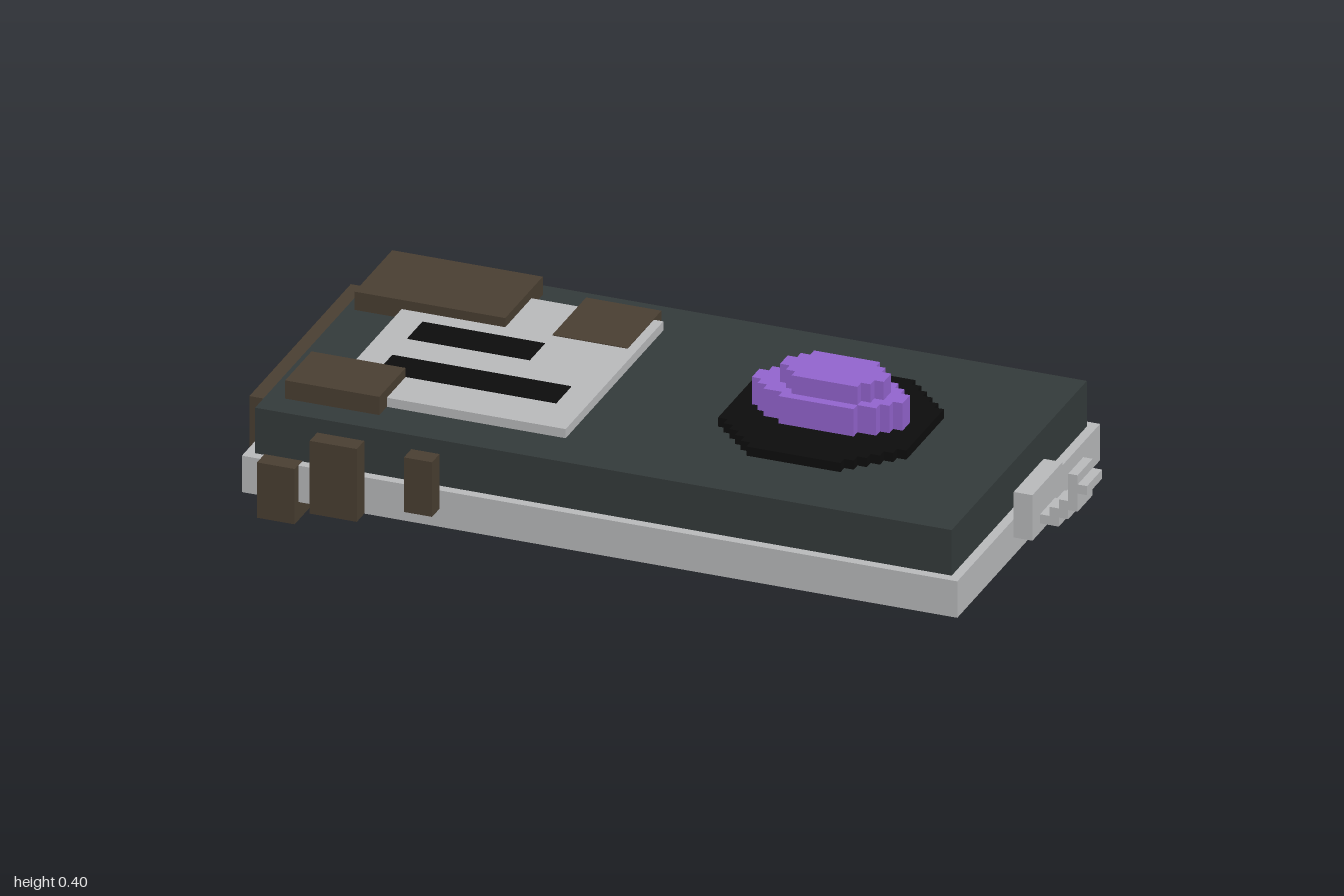
import * as THREE from 'three';

const V = 2 / 85; // size of one block cell; all measures below are in cells

export function createModel() {
  const model = new THREE.Group();
  model.name = 'blockDevice';
  const material = (name, color) => {
    const m = new THREE.MeshStandardMaterial({ color });
    m.name = name;
    return m;
  };
  const grey = material('lightGrey', 0xbabbbd);
  const slate = material('darkSlate', 0x343b3b);
  const brown = material('brown', 0x4a3f32);
  const black = material('black', 0x0d0d0d);
  const purple = material('purple', 0x9465d0);

  // Box from cell ranges; x counts from the right-hand end (x = -1)
  const box = (name, mat, [x0, x1], [y0, y1], [z0, z1]) => {
    const g = new THREE.BoxGeometry((x1 - x0) * V, (y1 - y0) * V, (z1 - z0) * V);
    g.translate(((x0 + x1) / 2 - 42.5) * V, ((y0 + y1) / 2) * V, ((z0 + z1) / 2) * V);
    const mesh = new THREE.Mesh(g, mat);
    mesh.name = name;
    model.add(mesh);
  };

  // Extruded stepped outline; rows are [z start, x start, x end], mirrored about z = -1
  const stepped = (name, mat, rows, y0, y1) => {
    const left = [], right = [];
    rows.forEach(([z, a, b], i) => {
      const next = i + 1 < rows.length ? rows[i + 1][0] : -2 - z;
      left.push([a, z], [a, next]);
      right.push([b, z], [b, next]);
    });
    rows.slice(0, -1).reverse().forEach(([z, a, b], i) => {
      const from = -2 - rows[rows.length - 1 - i][0];
      left.push([a, from], [a, -2 - z]);
      right.push([b, from], [b, -2 - z]);
    });
    const points = [...left, ...right.reverse()]
      .map(([x, z]) => new THREE.Vector2((x - 42.5) * V, -z * V));
    const g = new THREE.ExtrudeGeometry(new THREE.Shape(points), {
      depth: (y1 - y0) * V, bevelEnabled: false,
    });
    g.rotateX(-Math.PI / 2).translate(0, y0 * V, 0);
    const mesh = new THREE.Mesh(g, mat);
    mesh.name = name;
    model.add(mesh);
  };

  // Main slabs
  box('baseSlab', grey, [2, 78], [2, 6], [-20, 18]);
  box('bodySlab', slate, [3, 77], [6, 11], [-19, 17]);

  // Top panel with two dark slots, just proud of the panel
  box('topPanel', grey, [9, 34], [11, 12], [-14, 12]);
  box('shortSlot', black, [12, 25], [11.9, 12.08], [-5, -1]);
  box('longSlot', black, [12, 31], [11.9, 12.08], [3, 7]);

  // Brown patches on the top, end and front
  box('backCornerPatch', brown, [4, 20], [11, 13], [-17, -7]);
  box('backPatch', brown, [25, 33], [11, 12.08], [-16, -7]);
  box('frontCornerPatch', brown, [5, 15], [11, 13], [7, 14]);
  box('endPatch', brown, [0, 3], [3, 9], [-16, 11]);
  box('cornerFoot', brown, [4, 8], [0, 6.08], [9, 19]);
  box('frontPatchLarge', brown, [10, 15], [2, 10], [18, 20]);
  box('frontPatchSmall', brown, [20, 23], [4, 10], [18, 20]);

  // Stepped octagonal socket and two-tier gem
  stepped('gemSocket', black, [
    [-11, 52, 62], [-10, 51, 63], [-9, 50, 64], [-8, 49, 65], [-7, 48, 66], [-6, 47, 67],
  ], 11, 12);
  stepped('gemLower', purple, [
    [-5, 53, 61], [-4, 51, 63], [-3, 50, 64], [-2, 49, 65],
  ], 12, 15);
  stepped('gemUpper', purple, [[-4, 54, 61], [-3, 53, 62], [-2, 52, 63]], 15, 17);

  // Clasp on the far end: plate and a hook climbing in steps
  box('claspPlate', grey, [78, 80], [4, 9], [-5, 3]);
  [[5, 6], [5, 7], [6, 8], [7, 11], [9, 10]].forEach((y, i) =>
    box('claspHook' + (i + 1), grey, [80 + i, 81 + i], y, [-3, 1]));

  return model;
}
